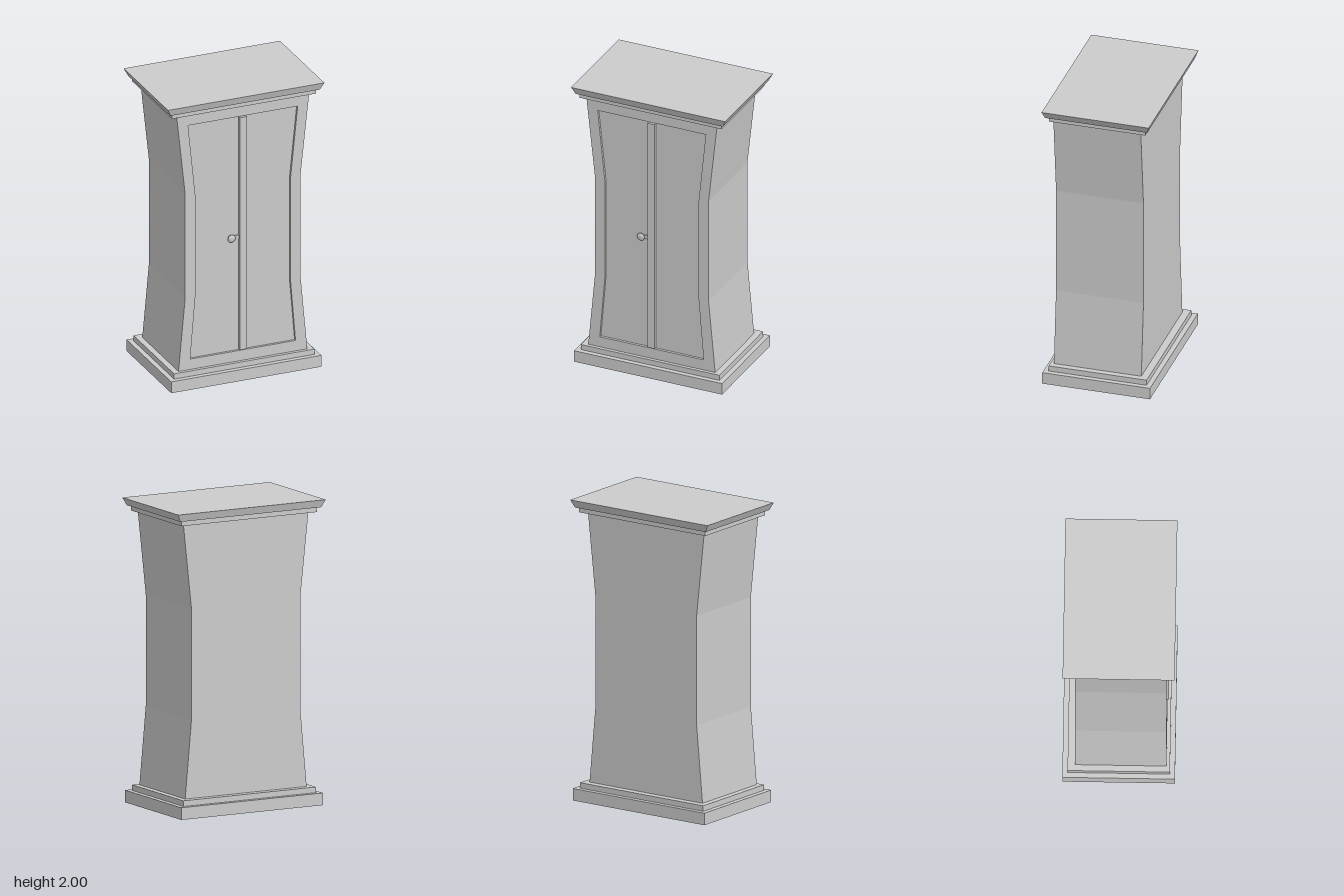
import * as THREE from 'three';

const material = new THREE.MeshStandardMaterial({ color: 0xcccccc });

function add(group, name, geometry, x = 0, y = 0, z = 0) {
  const mesh = new THREE.Mesh(geometry, material);
  mesh.name = name;
  mesh.position.set(x, y, z);
  group.add(mesh);
  return mesh;
}

// Symmetric outline from [halfWidth, y] pairs listed bottom to top
function mirroredPoints(profile) {
  const right = profile.map(([x, y]) => new THREE.Vector2(x, y));
  const left = profile.map(([x, y]) => new THREE.Vector2(-x, y)).reverse();
  return [...right, ...left];
}

function slab(group, name, width, depth, bottom, top) {
  return add(group, name, new THREE.BoxGeometry(width, top - bottom, depth), 0, (bottom + top) / 2, 0);
}

export function createModel() {
  const cabinet = new THREE.Group();
  cabinet.name = 'cabinet';
  const back = -0.282, panelZ = 0.29, frontZ = 0.307;

  // Stepped plinth
  slab(cabinet, 'plinth', 1.054, 0.726, 0, 0.08);
  slab(cabinet, 'plinthStep', 0.986, 0.66, 0.08, 0.117);

  // Waisted body, its front cap forming the recessed door panels
  const bodyProfile = [[0.452, 0.117], [0.405, 0.63], [0.405, 1.36], [0.465, 1.917]];
  const outline = mirroredPoints(bodyProfile);
  add(cabinet, 'body', new THREE.ExtrudeGeometry(new THREE.Shape(outline),
    { depth: panelZ - back, bevelEnabled: false }), 0, 0, back);

  // Front frame around the door opening
  const frame = new THREE.Shape(outline);
  const opening = [[0.37, 0.19], [0.333, 0.64], [0.333, 1.33], [0.385, 1.842]];
  frame.holes.push(new THREE.Path(mirroredPoints(opening)));
  add(cabinet, 'doorFrame', new THREE.ExtrudeGeometry(frame,
    { depth: frontZ - panelZ, bevelEnabled: false }), 0, 0, panelZ);

  // Raised strip between the doors
  add(cabinet, 'centerStrip', new THREE.BoxGeometry(0.048, 1.64, 0.027), 0, 1.017, panelZ + 0.0135);

  // Small round knob with a latch reaching the strip
  const knobProfile = [[0.019, 0], [0.014, 0.006], [0.02, 0.01], [0.027, 0.015],
    [0.026, 0.019], [0.02, 0.024], [0.011, 0.026], [0, 0.027]];
  const knob = add(cabinet, 'knob', new THREE.LatheGeometry(
    knobProfile.map(([r, h]) => new THREE.Vector2(r, h)), 20), -0.079, 0.988, panelZ);
  knob.rotation.x = Math.PI / 2;
  add(cabinet, 'latch', new THREE.BoxGeometry(0.04, 0.026, 0.008), -0.044, 0.988, panelZ + 0.004);

  // Cornice step and flared crown
  slab(cabinet, 'corniceStep', 1.01, 0.65, 1.917, 1.95);
  const crown = slab(cabinet, 'crown', 1.098, 0.722, 1.95, 2);
  const p = crown.geometry.attributes.position;
  for (let i = 0; i < p.count; i++) {
    if (p.getY(i) < 0) {
      p.setX(i, p.getX(i) - Math.sign(p.getX(i)) * 0.025);
      p.setZ(i, p.getZ(i) - Math.sign(p.getZ(i)) * 0.017);
    }
  }
  crown.geometry = crown.geometry.toNonIndexed();
  crown.geometry.computeVertexNormals();

  return cabinet;
}
